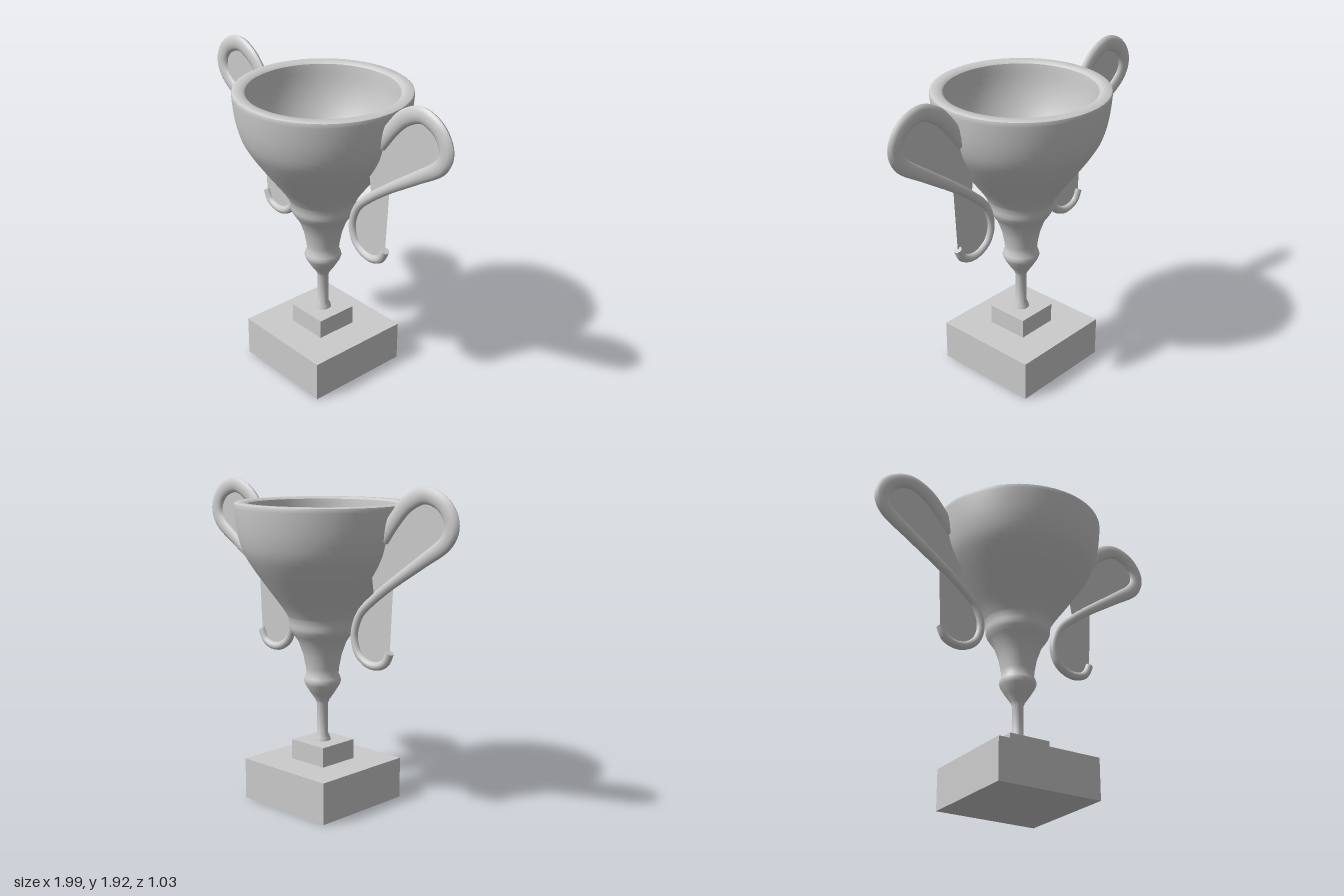
import * as THREE from 'three';
import { toCreasedNormals } from 'three/addons/utils/BufferGeometryUtils.js';

const grey = new THREE.MeshStandardMaterial({ color: 0xcccccc });
const greyThin = new THREE.MeshStandardMaterial({ color: 0xcccccc, side: THREE.DoubleSide });

function add(parent, name, geometry, material = grey) {
  const mesh = new THREE.Mesh(geometry, material);
  mesh.name = name;
  parent.add(mesh);
  return mesh;
}

const spline = (pts) =>
  new THREE.SplineCurve(pts.map(([x, y]) => new THREE.Vector2(x, y)));

// Handle centre line: x, y, half width
const HANDLE = [
  [0.47, 1.62, 0.042], [0.56, 1.74, 0.045], [0.65, 1.83, 0.048], [0.77, 1.877, 0.048],
  [0.89, 1.83, 0.048], [0.945, 1.73, 0.048], [0.905, 1.63, 0.045], [0.75, 1.52, 0.037],
  [0.55, 1.385, 0.03], [0.41, 1.28, 0.027], [0.305, 1.18, 0.025], [0.262, 1.06, 0.025],
  [0.285, 0.96, 0.025], [0.35, 0.905, 0.025], [0.425, 0.892, 0.025], [0.495, 0.92, 0.025],
  [0.53, 0.985, 0.024],
];

// Sweep of an ellipse along the centre line, wide in the plane and thin in z
function handleRim(curve, steps = 120, sides = 12) {
  const pos = [], index = [];
  for (let i = 0; i <= steps; i++) {
    const t = i / steps;
    const p = curve.getPoint(t), d = curve.getTangent(t);
    const f = t * (HANDLE.length - 1), k = Math.min(Math.floor(f), HANDLE.length - 2);
    const w = THREE.MathUtils.lerp(HANDLE[k][2], HANDLE[k + 1][2], f - k);
    for (let j = 0; j < sides; j++) {
      const a = (j / sides) * Math.PI * 2, c = Math.cos(a) * w;
      pos.push(p.x - d.y * c, p.y + d.x * c, 0.025 * Math.sin(a));
      if (i < steps) {
        const A = i * sides + j, B = i * sides + (j + 1) % sides;
        index.push(A, B, A + sides, B, B + sides, A + sides);
      }
    }
  }
  // end caps
  const last = steps * sides;
  for (let j = 1; j < sides - 1; j++) {
    index.push(0, j + 1, j, last, last + j, last + j + 1);
  }
  const g = new THREE.BufferGeometry();
  g.setAttribute('position', new THREE.Float32BufferAttribute(pos, 3));
  g.setIndex(index);
  return toCreasedNormals(g, 0.9);
}

function createHandle() {
  const handle = new THREE.Group();
  const curve = spline(HANDLE);
  add(handle, 'handleRim', handleRim(curve), greyThin);

  // Thin webs filling the two bends of the handle
  const pts = curve.getPoints(160);
  const at = (i) => Math.round((i / (HANDLE.length - 1)) * 160);
  const upper = pts.slice(0, at(9) + 1).concat(new THREE.Vector2(0.385, 1.44));
  const lower = pts.slice(at(8));
  add(handle, 'upperWeb', new THREE.ShapeGeometry(new THREE.Shape(upper)), greyThin);
  add(handle, 'lowerWeb', new THREE.ShapeGeometry(new THREE.Shape(lower)), greyThin);
  return handle;
}

export function createModel() {
  const trophy = new THREE.Group();
  trophy.name = 'trophy';

  // Square plinth in two steps
  add(trophy, 'plinth', new THREE.BoxGeometry(0.665, 0.25, 0.67)).position.set(-0.003, 0.125, 0);
  add(trophy, 'plinthStep', new THREE.BoxGeometry(0.265, 0.12, 0.265)).position.set(-0.003, 0.31, 0);

  // Cup: stem and outer wall, then rim, then inner wall
  const stem = [[0.05, 0.37], [0.047, 0.385], [0.035, 0.41], [0.033, 0.5], [0.034, 0.6], [0.042, 0.622]];
  const knop = [[0.075, 0.67], [0.105, 0.72], [0.112, 0.742], [0.107, 0.762], [0.097, 0.785]];
  const neck = [[0.1, 0.82], [0.115, 0.9], [0.143, 0.98], [0.17, 1.02], [0.188, 1.048], [0.195, 1.07],
    [0.195, 1.09], [0.203, 1.13]];
  const bowl = spline([[0.203, 1.13], [0.24, 1.19], [0.325, 1.305], [0.41, 1.425], [0.465, 1.52],
    [0.495, 1.62], [0.51, 1.72], [0.516, 1.79]]).getPoints(24).slice(1).map((p) => [p.x, p.y]);
  const rim = [[0.513, 1.802], [0.505, 1.807], [0.455, 1.807], [0.44, 1.795]];
  const inside = spline([[0.437, 1.77], [0.425, 1.66], [0.39, 1.54], [0.33, 1.42], [0.245, 1.29],
    [0.16, 1.17], [0.12, 1.08], [0.08, 0.97], [0.045, 0.87], [0.03, 0.8]]).getPoints(24).map((p) => [p.x, p.y]);
  const profile = [...stem, ...knop, ...neck, ...bowl, ...rim, ...inside, [0, 0.8]]
    .map(([x, y]) => new THREE.Vector2(x, y));
  add(trophy, 'cup', toCreasedNormals(new THREE.LatheGeometry(profile, 56), 0.7));

  // Pair of handles
  for (const side of ['left', 'right']) {
    const handle = createHandle();
    handle.name = side + 'Handle';
    if (side === 'right') handle.rotation.y = Math.PI;
    trophy.add(handle);
  }
  return trophy;
}
